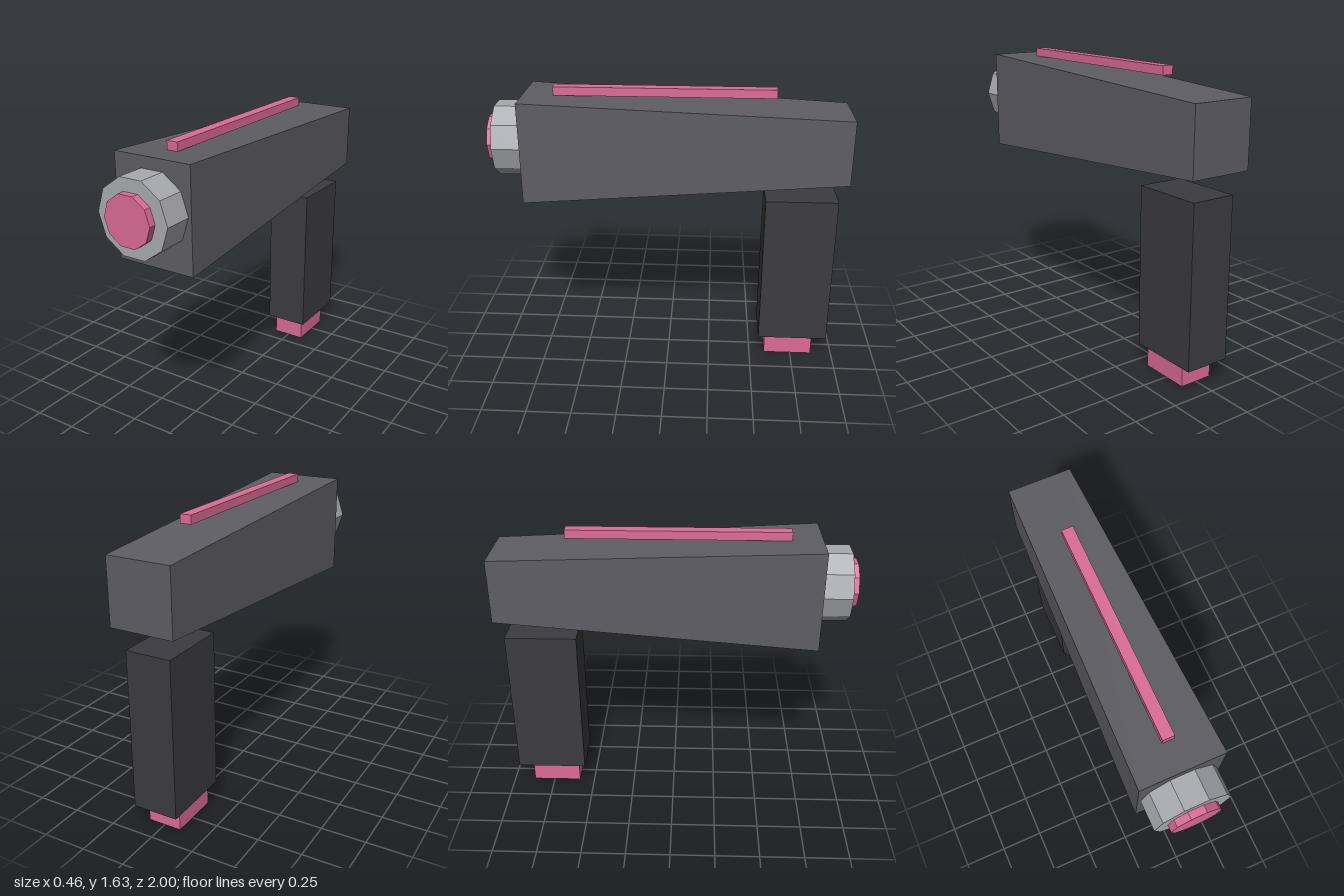
import * as THREE from 'three';

const mat = (color) => new THREE.MeshStandardMaterial({ color, flatShading: true });

export function createModel() {
  const model = new THREE.Group();
  const bodyMat = mat(0x5e5d64), gripMat = mat(0x3c3b41), steel = mat(0xa9aab0), pink = mat(0xdc6b96);

  const add = (name, geometry, material) => {
    const mesh = new THREE.Mesh(geometry, material);
    mesh.name = name;
    model.add(mesh);
    return mesh;
  };

  // box given by half width and its y and z ranges
  const box = (name, hx, y0, y1, z0, z1, material) =>
    add(name, new THREE.BoxGeometry(2 * hx, y1 - y0, z1 - z0)
      .translate(0, (y0 + y1) / 2, (z0 + z1) / 2), material);

  // ten-sided disc facing forward, with corners at its left and right
  const disc = (name, radius, z0, z1, material) =>
    add(name, new THREE.CylinderGeometry(radius, radius, z1 - z0, 10, 1, false, Math.PI / 2)
      .rotateX(Math.PI / 2).translate(0, 1.332, (z0 + z1) / 2), material);

  // body: a box tapering towards the back
  const body = new THREE.BoxGeometry(1, 1, 1);
  const p = body.attributes.position;
  for (let i = 0; i < p.count; i++) {
    const front = p.getZ(i) > 0;
    const [hx, y0, y1, z] = front ? [0.228, 1.025, 1.595, 0.8] : [0.18, 1.147, 1.511, -1];
    p.setXYZ(i, Math.sign(p.getX(i)) * hx, p.getY(i) > 0 ? y1 : y0, z);
  }
  body.computeVertexNormals();
  add('body', body, bodyMat);

  // muzzle ring and glowing lens
  disc('muzzle', 0.21, 0.8, 0.96, steel);
  disc('lens', 0.138, 0.9, 1.0, pink);

  // strip along the top
  box('topStrip', 0.032, 1.587, 1.635, -0.59, 0.635, pink);

  // grip and the cell at its foot
  box('grip', 0.129, 0.127, 1.023, -0.957, -0.55, gripMat);
  box('powerCell', 0.097, 0, 0.127, -0.875, -0.59, pink);

  return model;
}
